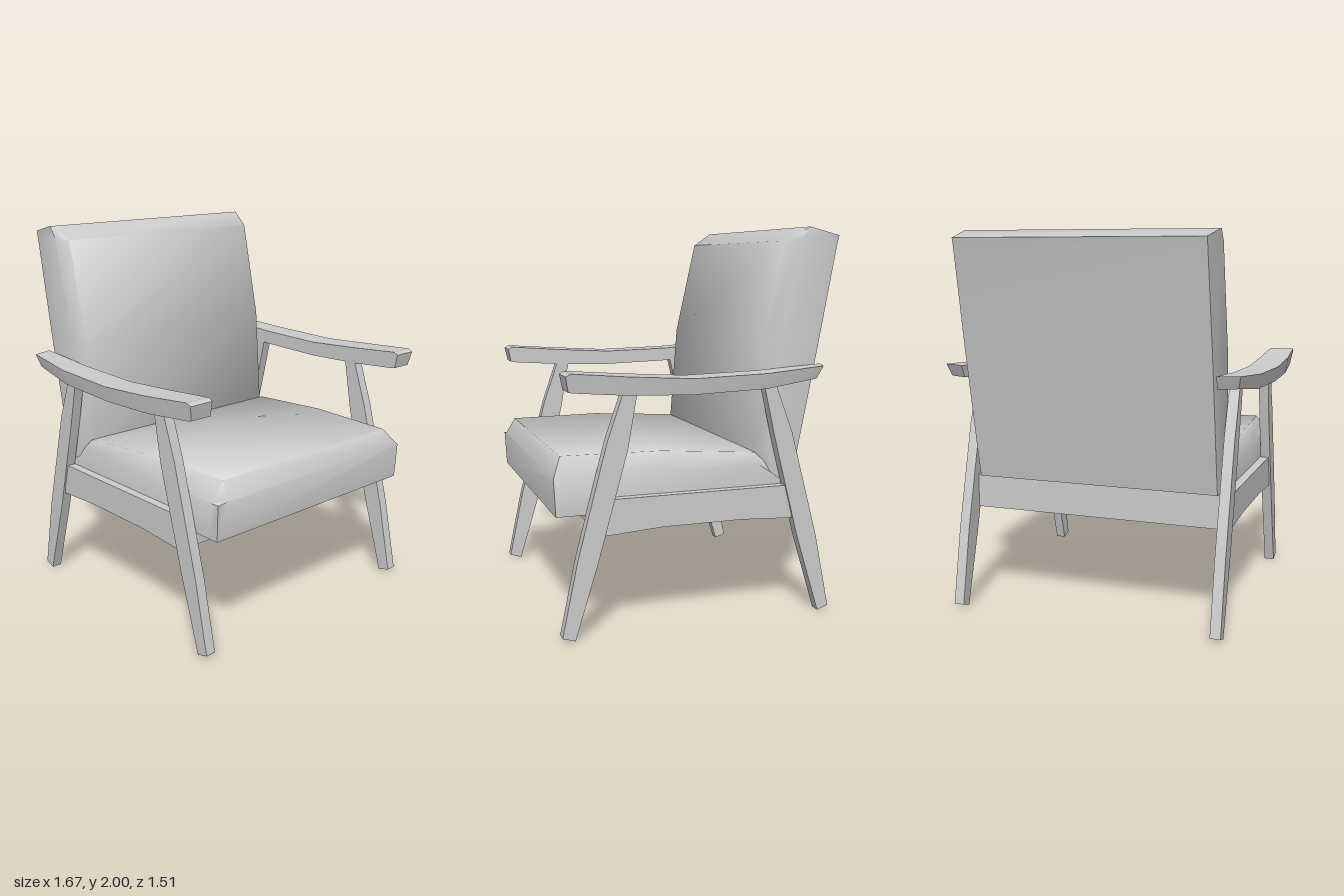
import * as THREE from 'three';
import { toCreasedNormals } from 'three/addons/utils/BufferGeometryUtils.js';

const material = new THREE.MeshStandardMaterial({ color: 0xcccccc });

// Skins a closed solid over rings of [x, y, z] points; faces are turned outward by signed volume.
function loft(name, rings, crease) {
  const n = rings[0].length, tris = [];
  for (let r = 0; r + 1 < rings.length; r++) {
    const a = rings[r], b = rings[r + 1];
    for (let i = 0; i < n; i++) {
      const j = (i + 1) % n;
      tris.push([a[i], a[j], b[j]], [a[i], b[j], b[i]]);
    }
  }
  const first = rings[0], last = rings[rings.length - 1];
  for (let i = 1; i + 1 < n; i++) {
    tris.push([first[0], first[i + 1], first[i]], [last[0], last[i], last[i + 1]]);
  }
  const v = p => new THREE.Vector3(...p);
  const volume = tris.reduce((s, t) => s + v(t[0]).dot(v(t[1]).cross(v(t[2]))), 0);
  if (volume < 0) tris.forEach(t => t.reverse());
  const geometry = new THREE.BufferGeometry();
  geometry.setAttribute('position', new THREE.Float32BufferAttribute(tris.flat(2), 3));
  const mesh = new THREE.Mesh(toCreasedNormals(geometry, crease), material);
  mesh.name = name;
  return mesh;
}

// Flat board between two side-view edges of [z, y] points, from x0 to x1.
function board(name, edgeA, edgeB, x0, x1) {
  return loft(name, edgeA.map(([za, ya], i) => {
    const [zb, yb] = edgeB[i];
    return [[x0, ya, za], [x1, ya, za], [x1, yb, zb], [x0, yb, zb]];
  }), 0.2);
}

// Six-point symmetric ring: three [halfWidth, y, z] pairs.
const ring6 = (a, b, c) => {
  const mirror = ([x, y, z]) => [-x, y, z];
  return [mirror(a), a, b, c, mirror(c), mirror(b)];
};

function crossRail(name, height, y, z) {
  const mesh = new THREE.Mesh(new THREE.BoxGeometry(1.37, height, 0.06), material);
  mesh.position.set(0, y, z);
  mesh.name = name;
  return mesh;
}

export function createModel() {
  const chair = new THREE.Group();
  chair.name = 'armchair';

  // Seat cushion: bottom, side and top edges from front to back
  chair.add(loft('seatCushion', [
    ring6([0.675, 0.61, 0.75], [0.678, 0.80, 0.76], [0.62, 0.805, 0.76]),
    ring6([0.675, 0.61, 0.70], [0.678, 0.80, 0.71], [0.60, 0.895, 0.71]),
    ring6([0.675, 0.61, 0.20], [0.678, 0.80, 0.20], [0.63, 0.895, 0.20]),
    ring6([0.675, 0.61, -0.30], [0.678, 0.81, -0.30], [0.655, 0.86, -0.30]),
    ring6([0.675, 0.61, -0.45], [0.678, 0.69, -0.47], [0.655, 0.70, -0.47]),
  ], 1.15));

  // Back cushion: front, shoulder and rear edges from bottom to top
  chair.add(loft('backCushion', [
    ring6([0.635, 0.69, -0.37], [0.678, 0.69, -0.41], [0.66, 0.69, -0.505]),
    ring6([0.635, 0.86, -0.30], [0.678, 0.86, -0.36], [0.66, 0.86, -0.54]),
    ring6([0.635, 1.40, -0.34], [0.678, 1.40, -0.41], [0.66, 1.40, -0.645]),
    ring6([0.64, 1.93, -0.46], [0.678, 1.94, -0.535], [0.655, 1.92, -0.745]),
    ring6([0.66, 2.0, -0.57], [0.678, 2.0, -0.58], [0.655, 1.96, -0.755]),
  ], 1.15));

  // Cross rails under the seat
  chair.add(crossRail('frontRail', 0.10, 0.57, 0.52));
  chair.add(crossRail('backRail', 0.18, 0.605, -0.465));

  // Arm stations: z top, z bottom, outer x, y top, y bottom
  const armStations = [
    [0.725, 0.71, 0.812, 1.305, 1.23],
    [0.70, 0.69, 0.815, 1.318, 1.226],
    [0.42, 0.42, 0.836, 1.296, 1.206],
    [0.10, 0.10, 0.836, 1.276, 1.196],
    [-0.29, -0.29, 0.825, 1.285, 1.207],
    [-0.61, -0.58, 0.79, 1.308, 1.243],
  ];

  for (const [side, s] of [['left', 1], ['right', -1]]) {
    const frame = new THREE.Group();
    frame.name = side + 'Frame';

    // Tapered, bent legs
    frame.add(board('frontLeg',
      [[0.74, 0.02], [0.66, 0.40], [0.51, 0.97], [0.425, 1.215]],
      [[0.675, 0], [0.555, 0.39], [0.405, 0.93], [0.355, 1.215]], s * 0.68, s * 0.735));
    frame.add(board('backLeg',
      [[-0.70, 0.02], [-0.62, 0.41], [-0.47, 0.97], [-0.375, 1.22]],
      [[-0.64, 0], [-0.51, 0.42], [-0.375, 0.94], [-0.31, 1.22]], s * 0.68, s * 0.735));

    // Side rail with an arched underside
    frame.add(board('sideRail',
      [[0.48, 0.69], [0.22, 0.69], [-0.20, 0.69], [-0.49, 0.69]],
      [[0.52, 0.51], [0.22, 0.53], [-0.20, 0.53], [-0.48, 0.515]], s * 0.678, s * 0.725));

    // Curved armrest, slanted at the rear end
    frame.add(loft('armrest', armStations.map(([zt, zb, x, yt, yb], i) => {
      const skew = i === armStations.length - 1 ? -0.04 : 0;
      return [[s * 0.68, yb, zb + skew], [s * (x - 0.015), yb, zb],
        [s * x, yt, zt], [s * 0.68, yt, zt + skew]];
    }), 0.3));

    chair.add(frame);
  }
  return chair;
}
